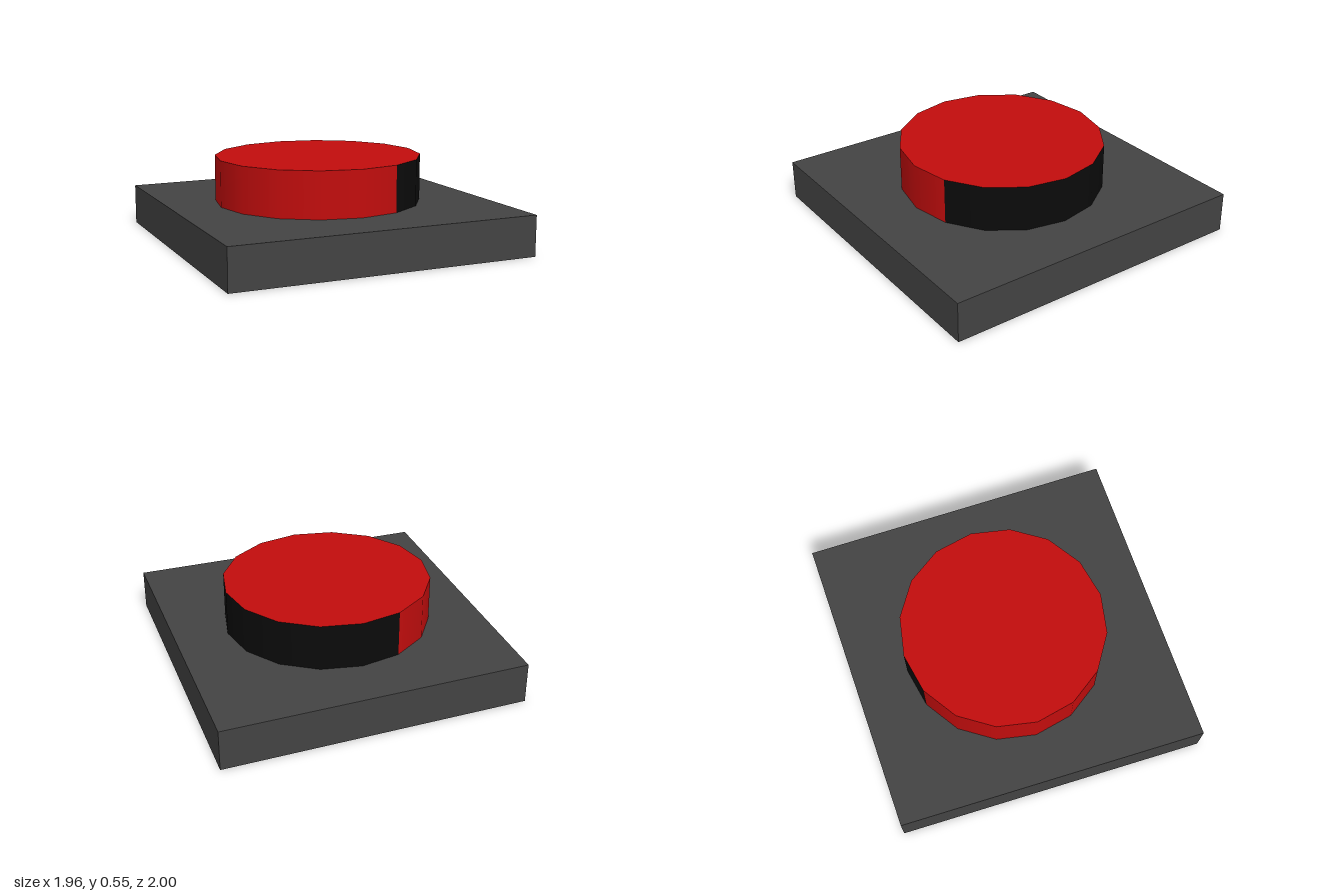
import * as THREE from 'three';

const makeMaterial = (name, color) => {
  const m = new THREE.MeshStandardMaterial({ color });
  m.name = name;
  return m;
};

export function createModel() {
  const grey = makeMaterial('dark grey', 0x434343);
  const red = makeMaterial('red', 0xc20d0d);
  const black = makeMaterial('black', 0x0b0b0b);

  const model = new THREE.Group();
  model.name = 'pushButton';
  const add = (parent, name, geometry, material) => {
    const mesh = new THREE.Mesh(geometry, material);
    mesh.name = name;
    parent.add(mesh);
    return mesh;
  };

  const baseTop = 0.257, buttonTop = 0.548;

  // Slightly skewed square base plate, corners as [x, z]
  const corners = [[-0.98, 1], [0.98, 1], [0.98, -1], [-0.94, -0.96]];
  const outline = new THREE.Shape(corners.map(([x, z]) => new THREE.Vector2(x, -z)));
  const plate = new THREE.ExtrudeGeometry(outline, { depth: baseTop, bevelEnabled: false });
  plate.rotateX(-Math.PI / 2);
  add(model, 'base', plate, grey);

  // Sixteen-sided button: red top, side wall half red and half black
  const button = new THREE.Group();
  button.name = 'button';
  button.position.set(-0.005, 0, 0.005);
  button.scale.set(0.655, 1, 0.642);
  model.add(button);

  const height = buttonTop - baseTop;
  const wall = (name, start, material) => {
    const half = new THREE.CylinderGeometry(1, 1, height, 8, 1, true, start, Math.PI);
    half.translate(0, baseTop + height / 2, 0);
    add(button, name, half, material);
  };
  wall('buttonSideBlack', Math.PI / 8, black);
  wall('buttonSideRed', Math.PI * 9 / 8, red);

  const cap = new THREE.CircleGeometry(1, 16);
  cap.rotateX(-Math.PI / 2);
  cap.translate(0, buttonTop, 0);
  add(button, 'buttonTop', cap, red);

  return model;
}
